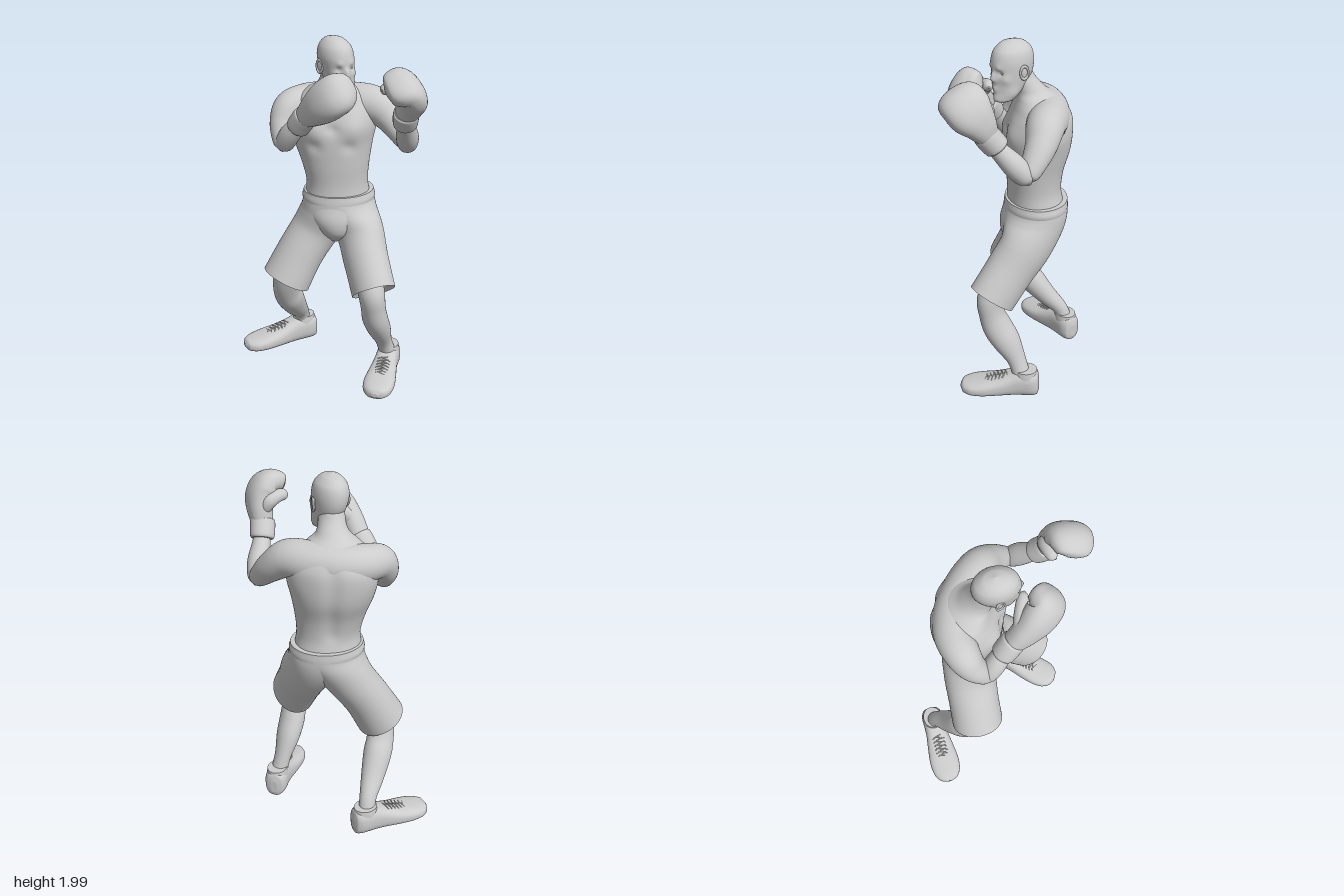
import * as THREE from 'three';

const mat = new THREE.MeshStandardMaterial({ color: 0xcccccc });
const V = (x, y, z) => new THREE.Vector3(x, y, z);
const X = V(1, 0, 0), Y = V(0, 1, 0), Z = V(0, 0, 1);

// Smooth skin through cross-sections [x, y, z, radiusA, radiusB, turnDegrees].
// Rings face the fixed axis, or the path; follow eases from the first to the second.
// Bumps [x, y, z, reach, dx, dy, dz] push the skin locally; inset hollows the last end.
function loft(name, rows, { axis, follow = 0, ref = X, pow = 1, n = 40, sub = 6, bumps = [], floor = -1, inset = 0 } = {}) {
  const path = new THREE.CatmullRomCurve3(rows.map(r => V(r[0], r[1], r[2])));
  const size = new THREE.CatmullRomCurve3(rows.map(r => V(r[3], r[4] ?? r[3], r[5] ?? 0)), false, 'catmullrom');
  const steps = (rows.length - 1) * sub, pos = [], idx = [];
  const round = c => Math.sign(c) * Math.abs(c) ** pow;
  const put = p => {
    const q = p.clone();
    for (const [x, y, z, r, dx, dy, dz] of bumps) {
      q.addScaledVector(V(dx, dy, dz), Math.exp(-p.distanceToSquared(V(x, y, z)) / (r * r)));
    }
    pos.push(q.x, Math.max(q.y, floor), q.z);
  };
  for (let i = 0; i <= steps; i++) {
    const k = i / steps, c = path.getPoint(k), s = size.getPoint(k);
    const t = path.getTangent(k);
    if (axis) t.lerp(axis, 1 - Math.min(1, follow * k * k)).normalize();
    const u = ref.clone().addScaledVector(t, -ref.dot(t)).normalize();
    u.applyAxisAngle(t, THREE.MathUtils.degToRad(s.z));
    const v = t.clone().cross(u);
    for (let j = 0; j < n; j++) {
      const a = j / n * Math.PI * 2;
      put(c.clone().addScaledVector(u, Math.max(s.x, 0.001) * round(Math.cos(a)))
        .addScaledVector(v, Math.max(s.y, 0.001) * round(Math.sin(a))));
      if (i < steps) {
        const A = i * n + j, B = i * n + (j + 1) % n;
        idx.push(A, B, A + n, B, B + n, A + n);
      }
    }
  }
  // end caps on their own vertices so that rims stay crisp
  for (const end of [0, steps]) {
    const base = pos.length / 3;
    for (let j = 0; j < n; j++) pos.push(...pos.slice((end * n + j) * 3, (end * n + j) * 3 + 3));
    put(path.getPoint(end ? 1 - inset : 0));
    for (let j = 0; j < n; j++) {
      const A = base + j, B = base + (j + 1) % n;
      end ? idx.push(A, B, base + n) : idx.push(B, A, base + n);
    }
  }
  const g = new THREE.BufferGeometry();
  g.setAttribute('position', new THREE.Float32BufferAttribute(pos, 3));
  g.setIndex(idx);
  g.computeVertexNormals();
  const m = new THREE.Mesh(g, mat);
  m.name = name;
  return m;
}

function group(name, ...parts) {
  const g = new THREE.Group();
  g.name = name;
  return g.add(...parts);
}

function makeTorso() {
  const bumps = [
    [0.09, 1.5, 0.025, 0.08, -0.01, 0, 0.024], [-0.105, 1.49, -0.06, 0.075, -0.012, 0, 0.024], // chest
    [-0.025, 1.5, 0, 0.03, 0.006, 0, -0.011], // breastbone
    [0.06, 1.4, 0.03, 0.035, 0.004, 0, -0.01], [-0.1, 1.4, -0.05, 0.035, 0.004, 0, -0.01], // under the chest
  ];
  // spine groove
  for (let y = 1.2; y < 1.62; y += 0.05) bumps.push([0.11 + (y - 1.2) * 0.06, y, -0.25 - (y - 1.2) * 0.16, 0.04, -0.004, 0, 0.008]);
  return loft('torso', [
    [0.07, 1.08, -0.122, 0.18, 0.15, -18], [0.065, 1.17, -0.118, 0.17, 0.142, -20],
    [0.058, 1.28, -0.125, 0.187, 0.153, -25], [0.055, 1.4, -0.145, 0.217, 0.173, -28],
    [0.06, 1.5, -0.155, 0.237, 0.173, -30], [0.062, 1.58, -0.16, 0.228, 0.163, -30],
    [0.058, 1.64, -0.155, 0.19, 0.14, -28], [0.048, 1.685, -0.138, 0.135, 0.112, -25],
    [0.038, 1.715, -0.115, 0.092, 0.09, -22], [0.03, 1.75, -0.09, 0.074, 0.08, -15],
    [0.02, 1.79, -0.062, 0.066, 0.077], [0.012, 1.83, -0.048, 0.06, 0.07],
  ], { axis: Y, pow: 0.94, n: 72, sub: 8, bumps });
}

function makeHead() {
  const bumps = [
    [0.014, 1.814, 0.115, 0.017, 0, 0, 0.021], [0.012, 1.838, 0.11, 0.015, 0, 0, 0.012], // nose
    [0.02, 1.763, 0.1, 0.02, 0, 0, 0.01], // mouth
    [0.024, 1.712, 0.095, 0.03, 0, 0, 0.014], // chin
  ];
  for (const s of [-1, 1]) {
    bumps.push([0.011 + s * 0.035, 1.85, 0.095, 0.018, 0, 0, -0.011]); // eye sockets
    bumps.push([0.01 + s * 0.035, 1.875, 0.1, 0.018, 0, 0, 0.006]); // brows
    bumps.push([0.014 + s * 0.055, 1.815, 0.07, 0.025, s * 0.004, 0, 0.005]); // cheekbones
    bumps.push([0.02 + s * 0.055, 1.74, 0.03, 0.03, s * 0.005, 0, 0]); // jaw
  }
  const head = group('head', loft('skull', [
    [0.025, 1.686, 0.06, 0.015, 0.015], [0.025, 1.7, 0.05, 0.044, 0.047], [0.022, 1.73, 0.03, 0.06, 0.07],
    [0.015, 1.78, 0.005, 0.075, 0.1], [0.01, 1.84, -0.01, 0.085, 0.118], [0.005, 1.9, -0.015, 0.09, 0.12],
    [0.003, 1.95, -0.017, 0.078, 0.104], [0, 1.985, -0.018, 0.046, 0.063], [0, 2, -0.018, 0.003, 0.003],
  ], { axis: Y, n: 96, sub: 10, bumps }));
  for (const s of [-1, 1]) {
    const eye = new THREE.Mesh(new THREE.SphereGeometry(0.011, 16, 12), mat);
    eye.name = 'eye';
    eye.scale.set(1.3, 0.6, 0.8);
    eye.position.set(0.011 + s * 0.035, 1.849, 0.079);
    const lobe = new THREE.Mesh(new THREE.SphereGeometry(0.025, 20, 14), mat);
    lobe.name = 'earLobe';
    lobe.scale.set(0.9, 1.4, 0.35);
    const rim = new THREE.Mesh(new THREE.TorusGeometry(0.022, 0.006, 8, 24), mat);
    rim.name = 'earRim';
    rim.scale.set(0.95, 1.5, 1);
    rim.position.z = 0.006;
    const ear = group('ear', lobe, rim);
    ear.rotation.y = s * 1.25;
    ear.position.set(0.01 + s * 0.088, 1.848, -0.02);
    head.add(eye, ear);
  }
  return head;
}

// Shoe pointing along +z with the ankle at its origin
function makeShoe(name) {
  const shoe = group(name,
    loft('upper', [
      [0, 0.075, -0.09, 0.02, 0.04], [0, 0.082, -0.08, 0.048, 0.072], [0, 0.086, -0.045, 0.064, 0.08],
      [0, 0.085, 0.03, 0.065, 0.08], [0, 0.076, 0.08, 0.068, 0.071], [0, 0.062, 0.16, 0.08, 0.057],
      [0, 0.052, 0.25, 0.089, 0.047], [0, 0.046, 0.32, 0.08, 0.039], [0, 0.044, 0.362, 0.052, 0.03],
      [0, 0.044, 0.378, 0.016, 0.01],
    ], { axis: Z, pow: 0.78, floor: 0.01 }),
    loft('collar', [[0, 0.08, -0.012, 0.062, 0.072], [0, 0.14, -0.012, 0.06, 0.07], [0, 0.17, -0.012, 0.056, 0.066]], { axis: Y }));
  for (let i = 0; i < 12; i++) {
    const z = 0.105 + i * 0.011, y = 0.147 - 0.3 * (z - 0.08), slant = i % 2 ? 0.012 : -0.012;
    const curve = new THREE.QuadraticBezierCurve3(V(-0.038, y - 0.01, z - slant), V(0, y + 0.01, z), V(0.038, y - 0.01, z + slant));
    const lace = new THREE.Mesh(new THREE.TubeGeometry(curve, 10, 0.0032, 6), mat);
    lace.name = 'lace';
    shoe.add(lace);
  }
  return shoe;
}

export function createModel() {
  const model = group('boxer', makeTorso(), makeHead());

  // shorts: both legs start from the same level waist ring, the seat fills between them
  const waist = [[0.077, 1.11, -0.124, 0.195, 0.167, 18], [0.077, 1.06, -0.122, 0.199, 0.172, 18]];
  const cloth = { axis: V(0, -1, 0), follow: 2, n: 56, sub: 8, inset: 0.12 };
  model.add(group('shorts',
    loft('seat', [[0.035, 0.83, -0.09, 0.04, 0.07, -15], [0.045, 0.89, -0.085, 0.11, 0.135, -18], [0.06, 0.97, -0.1, 0.172, 0.168, -18],
      [0.077, 1.06, -0.122, 0.196, 0.17, -18], [0.077, 1.1, -0.124, 0.19, 0.163, -18]], { axis: Y, n: 56 }),
    loft('leftShortsLeg', [...waist, [0.118, 0.98, -0.085, 0.16, 0.17, 8], [0.15, 0.88, -0.01, 0.13, 0.157],
      [0.14, 0.75, 0.095, 0.122, 0.144], [0.13, 0.6, 0.215, 0.118, 0.143]], cloth),
    loft('rightShortsLeg', [...waist, [0.035, 0.98, -0.145, 0.165, 0.168, 8], [-0.035, 0.87, -0.178, 0.134, 0.148],
      [-0.13, 0.73, -0.19, 0.13, 0.142], [-0.22, 0.57, -0.195, 0.138, 0.145]], cloth)));

  // lower legs
  model.add(
    loft('leftLeg', [[0.125, 0.7, 0.14, 0.08], [0.118, 0.59, 0.212, 0.073, 0.079], [0.13, 0.5, 0.214, 0.068, 0.074], [0.152, 0.42, 0.195, 0.071, 0.083],
      [0.195, 0.33, 0.162, 0.066, 0.078], [0.245, 0.22, 0.13, 0.047, 0.054], [0.28, 0.12, 0.118, 0.047, 0.05]]),
    loft('rightLeg', [[-0.21, 0.64, -0.19, 0.08], [-0.21, 0.53, -0.222, 0.078, 0.07], [-0.195, 0.46, -0.25, 0.078, 0.068], [-0.16, 0.39, -0.287, 0.08, 0.075],
      [-0.1, 0.29, -0.348, 0.066, 0.06], [-0.04, 0.2, -0.41, 0.048, 0.045], [-0.02, 0.12, -0.435, 0.048, 0.045]]));

  // shoes
  const leftShoe = makeShoe('leftShoe'), rightShoe = makeShoe('rightShoe');
  leftShoe.position.set(0.288, 0, 0.11);
  leftShoe.rotation.y = -0.7;
  leftShoe.scale.z = 0.95;
  rightShoe.position.set(-0.025, 0, -0.435);
  rightShoe.rotation.y = -Math.PI / 2;
  model.add(leftShoe, rightShoe);

  // upper arms and shoulders in one sweep from elbow to elbow
  const arm = { ref: Z };
  model.add(loft('shouldersAndUpperArms', [
    [-0.247, 1.383, -0.12, 0.012], [-0.244, 1.405, -0.133, 0.046], [-0.238, 1.435, -0.158, 0.059], [-0.213, 1.505, -0.205, 0.075],
    [-0.162, 1.572, -0.235, 0.09], [-0.06, 1.588, -0.25, 0.1], [0.055, 1.592, -0.217, 0.103], [0.165, 1.592, -0.13, 0.108],
    [0.25, 1.59, -0.04, 0.1], [0.304, 1.535, 0.025, 0.083], [0.338, 1.46, 0.1, 0.065], [0.352, 1.415, 0.143, 0.049], [0.358, 1.39, 0.163, 0.012],
  ], { ref: Z, n: 48, sub: 8 }));

  // forearms
  model.add(
    loft('leftForearm', [[0.36, 1.372, 0.14, 0.012], [0.35, 1.405, 0.155, 0.049], [0.323, 1.47, 0.2, 0.06], [0.278, 1.555, 0.262, 0.048], [0.255, 1.61, 0.3, 0.04]], arm),
    loft('rightForearm', [[-0.248, 1.37, -0.15, 0.012], [-0.243, 1.405, -0.135, 0.048], [-0.225, 1.48, -0.085, 0.056], [-0.197, 1.55, -0.03, 0.046], [-0.185, 1.58, 0, 0.04]], arm));

  // gloves: the fist curls inward, the thumb lies along its near side
  model.add(group('leftGlove',
    loft('cuff', [[0.27, 1.572, 0.268, 0.056], [0.267, 1.58, 0.273, 0.064], [0.252, 1.62, 0.302, 0.067], [0.243, 1.65, 0.322, 0.066], [0.24, 1.658, 0.327, 0.058]]),
    loft('fist', [[0.247, 1.645, 0.318, 0.06, 0.057], [0.243, 1.71, 0.355, 0.088, 0.066], [0.222, 1.77, 0.392, 0.116, 0.073],
      [0.182, 1.817, 0.41, 0.119, 0.071], [0.135, 1.815, 0.407, 0.11, 0.065], [0.1, 1.8, 0.396, 0.082, 0.05], [0.086, 1.793, 0.39, 0.02, 0.015]],
    { ref: V(0, -0.42, 0.9), pow: 0.86, n: 48 }),
    loft('thumb', [[0.24, 1.69, 0.32, 0.03], [0.215, 1.76, 0.295, 0.038], [0.165, 1.785, 0.295, 0.034], [0.122, 1.785, 0.308, 0.028], [0.104, 1.785, 0.316, 0.005]], arm)));
  model.add(group('rightGlove',
    loft('cuff', [[-0.202, 1.525, -0.042, 0.056], [-0.2, 1.533, -0.036, 0.063], [-0.19, 1.57, -0.008, 0.065], [-0.18, 1.603, 0.02, 0.064], [-0.178, 1.61, 0.026, 0.057]]),
    loft('fist', [[-0.181, 1.6, 0.022, 0.058, 0.056], [-0.166, 1.655, 0.09, 0.086, 0.066], [-0.138, 1.715, 0.163, 0.108, 0.075],
      [-0.098, 1.76, 0.209, 0.108, 0.074], [-0.055, 1.772, 0.198, 0.095, 0.066], [-0.022, 1.772, 0.18, 0.07, 0.05], [-0.008, 1.772, 0.172, 0.018, 0.015]],
    { ref: V(0, -0.77, 0.6), pow: 0.88, n: 48 }),
    loft('thumb', [[-0.165, 1.65, 0.055, 0.03], [-0.125, 1.72, 0.073, 0.038], [-0.07, 1.755, 0.093, 0.033], [-0.025, 1.765, 0.113, 0.026], [-0.006, 1.767, 0.123, 0.005]], arm)));
  return model;
}
